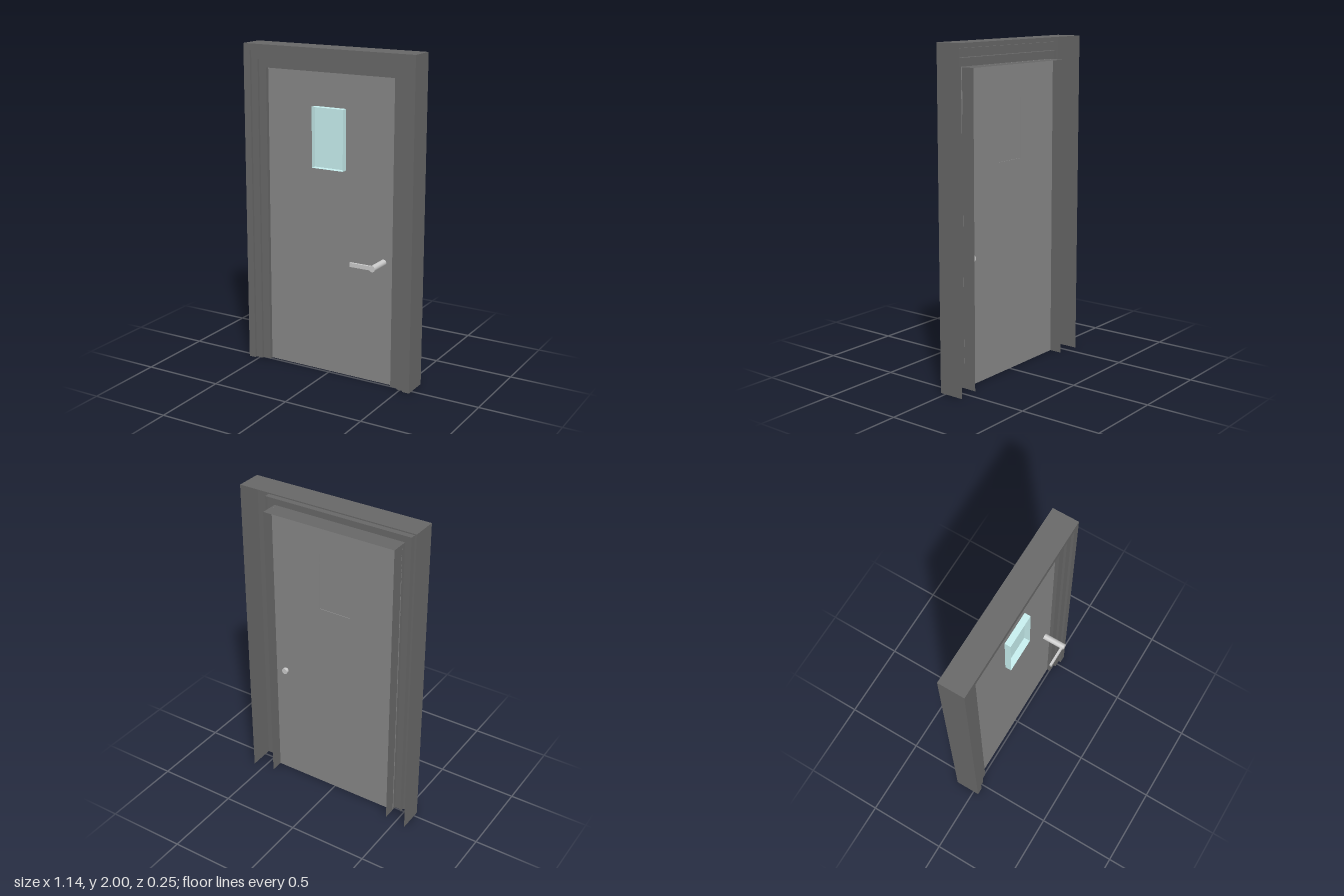
import * as THREE from 'three';

const mat = (color) => new THREE.MeshStandardMaterial({ color, flatShading: true, side: THREE.DoubleSide });

function add(group, name, geometry, material, x = 0, y = 0, z = 0) {
  const mesh = new THREE.Mesh(geometry, material);
  mesh.name = name;
  mesh.position.set(x, y, z);
  group.add(mesh);
  return mesh;
}

// Sweeps a sheet profile of [half width, height, z] up one jamb, across the head and down the other.
function sweepFrame(profile) {
  const positions = [];
  const station = ([w, h, z], i) => [[-w, 0, z], [-w, h, z], [w, h, z], [w, 0, z]][i];
  for (let p = 0; p < profile.length - 1; p++) {
    for (let i = 0; i < 3; i++) {
      const a = station(profile[p], i), b = station(profile[p], i + 1);
      const c = station(profile[p + 1], i + 1), d = station(profile[p + 1], i);
      positions.push(...a, ...d, ...c, ...a, ...c, ...b);
    }
  }
  const geometry = new THREE.BufferGeometry();
  geometry.setAttribute('position', new THREE.Float32BufferAttribute(positions, 3));
  geometry.computeVertexNormals();
  return geometry;
}

export function createModel() {
  const group = new THREE.Group();
  const frameMat = mat(0x686868);
  const doorMat = mat(0x888888);
  const glassMat = mat(0xc8f0f0);
  const metalMat = mat(0xcccccc);
  metalMat.flatShading = false;

  // Stepped sheet frame, open at the back
  add(group, 'frame', sweepFrame([
    [0.57, 2, -0.125], [0.57, 2, 0.035],
    [0.525, 1.96, 0.035], [0.525, 1.96, 0.02],
    [0.48, 1.91, 0.02], [0.48, 1.91, 0.005],
    [0.43, 1.86, 0.005], [0.43, 1.86, -0.106],
  ]), frameMat);
  // Short lip behind the inner step
  add(group, 'frameLip', sweepFrame([[0.48, 1.91, 0.005], [0.48, 1.91, -0.015]]), frameMat);

  // Door leaf with a window opening
  const winW = 0.21, winBottom = 1.29, winTop = 1.655;
  const winH = winTop - winBottom, winY = (winTop + winBottom) / 2;
  const leaf = new THREE.Shape([[-0.43, 0], [0.43, 0], [0.43, 1.86], [-0.43, 1.86]]
    .map(([x, y]) => new THREE.Vector2(x, y)));
  leaf.holes.push(new THREE.Path([[-winW / 2, winBottom], [-winW / 2, winTop], [winW / 2, winTop], [winW / 2, winBottom]]
    .map(([x, y]) => new THREE.Vector2(x, y))));
  add(group, 'doorLeaf', new THREE.ExtrudeGeometry(leaf, { depth: 0.008, bevelEnabled: false }), doorMat, 0, 0, -0.026);

  // Window: pane, thin raised rim and backing panel
  add(group, 'windowPane', new THREE.PlaneGeometry(winW, winH), glassMat, 0, winY, -0.018);
  add(group, 'windowBacking', new THREE.PlaneGeometry(winW, winH), doorMat, 0, winY, -0.021);
  const rimDepth = 0.038, rimZ = 0.001;
  for (const s of [-1, 1]) {
    add(group, 'windowRimSide', new THREE.PlaneGeometry(rimDepth, winH), glassMat, s * winW / 2, winY, rimZ)
      .rotation.y = s * Math.PI / 2;
    add(group, 'windowRimEdge', new THREE.PlaneGeometry(winW, rimDepth), glassMat, 0, winY + s * winH / 2, rimZ)
      .rotation.x = -s * Math.PI / 2;
  }

  // Handle: spindle through the leaf and a flat lever
  const spindle = new THREE.CylinderGeometry(0.019, 0.019, 0.17, 16).rotateX(Math.PI / 2);
  add(group, 'handleSpindle', spindle, metalMat, 0.361, 0.766, 0.04);
  const leverMat = mat(0xcccccc);
  add(group, 'handleLever', new THREE.BoxGeometry(0.142, 0.025, 0.014), leverMat, 0.281, 0.766, 0.112);

  return group;
}
